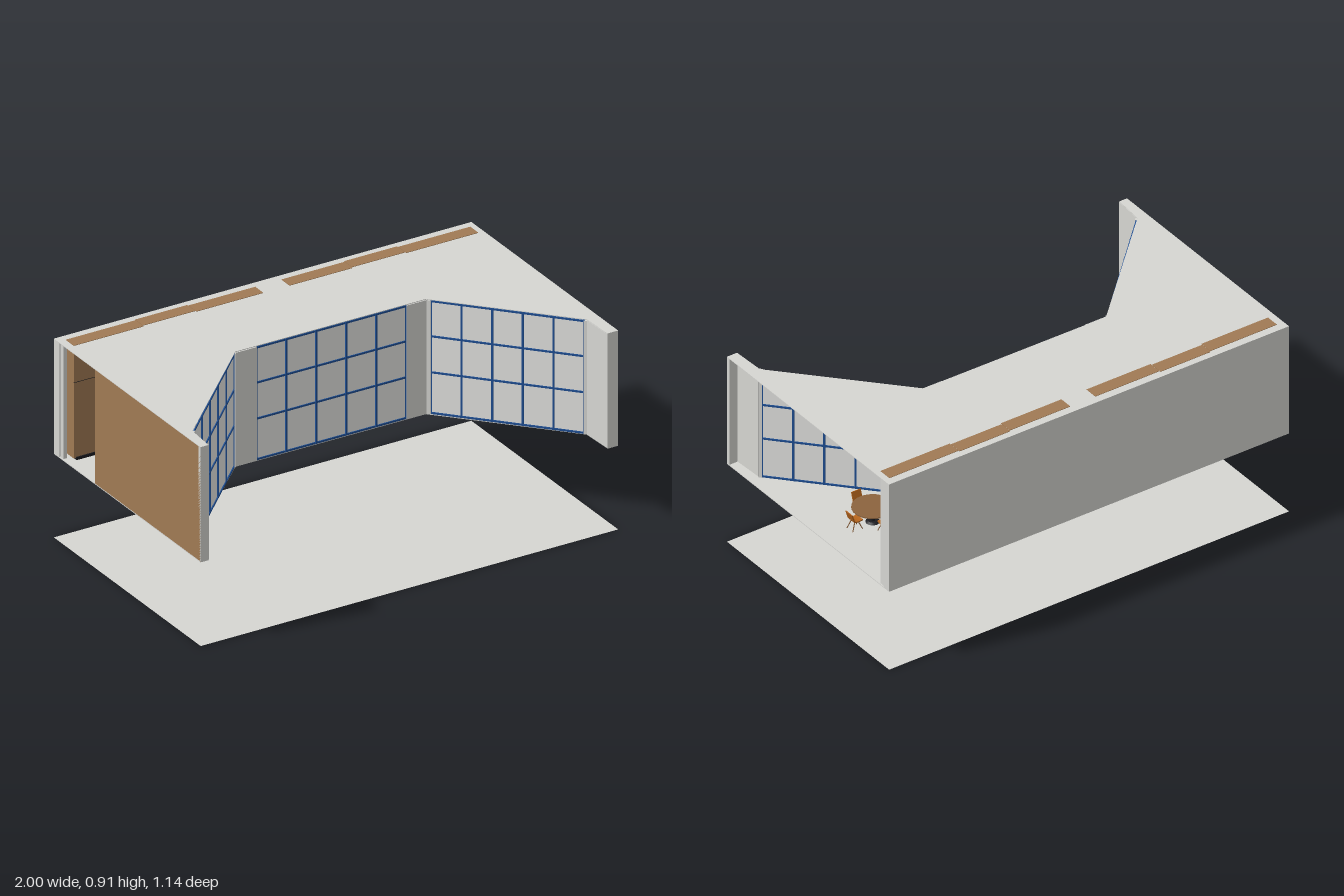
import * as THREE from 'three';

const mat = (name, color, side = THREE.FrontSide) => {
  const m = new THREE.MeshStandardMaterial({ color, side });
  m.name = name;
  return m;
};

export function createModel() {
  const model = new THREE.Group();
  model.name = 'pavilion';
  const wallGrey = mat('wall grey', 0xd6d6d2, THREE.DoubleSide);
  const glass = mat('pale glazing', 0xeeeeec);
  const blue = mat('blue frame', 0x1f4f94);
  const wood = mat('wood panel', 0xa07a54);
  const black = mat('black', 0x1b1b1f);
  const orange = mat('orange chair', 0xb5651d);
  const sofaGrey = mat('sofa grey', 0xc9c9c9);
  const tableWood = mat('table wood', 0x8c633e);

  const F = 0.387, H = 0.908; // floor and ceiling levels
  const add = (name, geo, m, parent = model) => {
    const mesh = new THREE.Mesh(geo, m);
    mesh.name = name;
    parent.add(mesh);
    return mesh;
  };
  // box given by its minimum and maximum corners
  const box = (name, x0, x1, y0, y1, z0, z1, m, parent) => {
    const b = add(name, new THREE.BoxGeometry(x1 - x0, y1 - y0, z1 - z0), m, parent);
    b.position.set((x0 + x1) / 2, (y0 + y1) / 2, (z0 + z1) / 2);
    return b;
  };
  // upright slab between two plan points
  const slab = (name, a, b, y0, y1, t, m, parent) => {
    const dx = b[0] - a[0], dz = b[1] - a[1];
    const s = add(name, new THREE.BoxGeometry(Math.hypot(dx, dz), y1 - y0, t), m, parent);
    s.position.set((a[0] + b[0]) / 2, (y0 + y1) / 2, (a[1] + b[1]) / 2);
    s.rotation.y = -Math.atan2(dz, dx);
    return s;
  };
  // plan outline (x, z) raised from y0 to y1
  const prism = (name, pts, y0, y1, m, parent) => {
    const shape = new THREE.Shape(pts.map(p => new THREE.Vector2(p[0], p[1])));
    const geo = new THREE.ExtrudeGeometry(shape, { depth: y1 - y0, bevelEnabled: false });
    geo.rotateX(Math.PI / 2);
    const p = add(name, geo, m, parent);
    p.position.y = y1;
    return p;
  };
  // curved strip in plan between two sideways offsets of a curve
  const ribbon = (name, pts, o0, o1, y0, y1, m, parent) => {
    const curve = new THREE.CatmullRomCurve3(pts.map(p => new THREE.Vector3(p[0], 0, p[1])));
    const edge = o => Array.from({ length: 33 }, (_, i) => {
      const p = curve.getPointAt(i / 32), t = curve.getTangentAt(i / 32);
      return [p.x - t.z * o, p.z + t.x * o];
    });
    return prism(name, [...edge(o0), ...edge(o1).reverse()], y0, y1, m, parent);
  };

  // ground sheet, floor and roof with the splayed recess in front
  const ground = add('ground', new THREE.PlaneGeometry(2, 1.145), wallGrey);
  ground.rotation.x = -Math.PI / 2;
  const plan = [[-1, -0.572], [1, -0.572], [1, 0.572], [0.95, 0.572], [0.943, 0.42], [0.48, -0.08],
    [-0.43, -0.085], [-0.952, 0.43], [-0.962, 0.572], [-1, 0.572]];
  prism('floor', plan, F - 0.004, F, wallGrey);
  prism('roof', plan, H, 0.911, wallGrey);

  // back wall and its short returns
  box('backWall', -1, 1, F, H, -0.572, -0.548, wallGrey);
  for (const s of [-1, 1]) {
    const x = s * 0.987;
    box('backReturn', x - 0.012, x + 0.012, F, H, -0.548, -0.53, wallGrey);
    box('backReturn', x - 0.008, x + 0.008, F, H, -0.53, -0.505, wallGrey);
  }
  // front ends and the wooden side wall
  slab('leftFrontReturn', [-0.956, 0.43], [-0.966, 0.572], F, H, 0.01, wallGrey);
  box('leftFrontEnd', -1, -0.962, F, H, 0.555, 0.572, wallGrey);
  slab('rightFrontReturn', [0.947, 0.42], [0.954, 0.572], F, H, 0.01, wallGrey);
  box('rightFrontEnd', 0.95, 1, F, H, 0.556, 0.572, wallGrey);
  box('sideWall', -1, -0.988, F, H, -0.25, 0.572, wood);
  box('sideWallLining', -0.987, -0.98, F, H, -0.16, 0.4, wallGrey);

  // glazed walls: pale panes, grey edges, blue grid of five by three bays
  const glazing = (name, a, b, u0, u1) => {
    const g = new THREE.Group();
    g.name = name;
    model.add(g);
    const at = u => [a[0] + (b[0] - a[0]) * u, a[1] + (b[1] - a[1]) * u];
    const len = Math.hypot(b[0] - a[0], b[1] - a[1]);
    slab('pane', at(u0), at(u1), F, H, 0.006, glass, g);
    slab('wallEnd', at(0), at(u0), F, H, 0.022, wallGrey, g);
    slab('wallEnd', at(u1), at(1), F, H, 0.022, wallGrey, g);
    const w = 0.004 / len;
    for (let i = 0; i <= 5; i++) {
      const u = u0 + (u1 - u0) * i / 5;
      slab('mullion', at(u - w), at(u + w), F, H, 0.016, blue, g);
    }
    for (const y of [F + 0.004, 0.577, 0.742, H - 0.005])
      slab('transom', at(u0), at(u1), y - 0.004, y + 0.004, 0.015, blue, g);
  };
  glazing('frontWindow', [-0.43, -0.09], [0.48, -0.086], 0.11, 0.897);
  glazing('leftWindow', [-0.955, 0.43], [-0.435, -0.09], 0.02, 0.98);
  glazing('rightWindow', [0.486, -0.085], [0.947, 0.42], 0.03, 0.98);

  // storage wall: tall cupboards either side of a dark kitchen niche
  const tall = (x0, x1) => {
    box('plinth', x0 + 0.01, x1 - 0.01, F - 0.006, 0.4, -0.53, -0.468, black);
    box('tallCupboard', x0, x1, 0.395, 0.913, -0.535, -0.473, wood);
    const n = Math.round((x1 - x0) / 0.11);
    for (let i = 1; i < n; i++) {
      const x = x0 + (x1 - x0) * i / n;
      box('doorGap', x - 0.001, x + 0.001, 0.4, H, -0.474, -0.4725, black);
    }
    box('doorGap', x0, x1, 0.741, 0.743, -0.474, -0.4725, black);
  };
  const niche = (x0, x1) => {
    box('nicheBack', x0, x1, 0.395, 0.913, -0.541, -0.52, wood);
    box('nicheTop', x0, x1, 0.75, 0.913, -0.52, -0.48, wood);
    for (let i = 0; i < 3; i++) {
      const x = x0 + (x1 - x0) * (i + 0.5) / 3;
      box('appliance', x - 0.036, x + 0.036, F - 0.006, 0.58, -0.52, -0.464, black);
    }
    for (const y of [0.64, 0.7]) box('shelf', x0, x1, y, y + 0.006, -0.52, -0.475, black);
  };
  tall(-0.965, -0.632);
  niche(-0.63, -0.38);
  tall(-0.378, -0.058);
  tall(0.068, 0.37);
  niche(0.372, 0.625);
  tall(0.627, 0.972);

  // winding sofa with plinth, seat and backrest
  const path = [[-0.23, -0.25], [-0.17, -0.285], [-0.08, -0.32], [0, -0.315], [0.07, -0.275], [0.16, -0.25], [0.26, -0.262]];
  const sofa = new THREE.Group();
  sofa.name = 'sofa';
  model.add(sofa);
  ribbon('sofaPlinth', path, -0.033, 0.033, F - 0.006, 0.4, black, sofa);
  ribbon('sofaSeat', path, -0.037, 0.037, 0.4, 0.43, sofaGrey, sofa);
  ribbon('sofaBack', path, -0.037, -0.01, 0.43, 0.465, sofaGrey, sofa);

  // pendant light above the sofa
  ribbon('pendantLight', [[0.26, -0.13], [0.12, -0.14], [0, -0.23], [-0.1, -0.305], [-0.25, -0.31]],
    -0.012, 0.012, 0.758, 0.766, black);
  for (const x of [-0.22, -0.12])
    add('pendantRod', new THREE.CylinderGeometry(0.001, 0.001, H - 0.765, 6), black).position.set(x, (H + 0.765) / 2, -0.312);

  // low side tables
  for (const [x, z] of [[0.06, -0.14], [-0.01, -0.2], [-0.045, -0.15]]) {
    add('lowTableBase', new THREE.CylinderGeometry(0.018, 0.018, 0.008, 20), black).position.set(x, F, z);
    add('lowTableStem', new THREE.CylinderGeometry(0.004, 0.004, 0.035, 10), black).position.set(x, F + 0.018, z);
    add('lowTableTop', new THREE.CylinderGeometry(0.024, 0.024, 0.004, 24), tableWood).position.set(x, F + 0.037, z);
  }

  // shell chair, facing +z
  const profile = new THREE.Shape();
  profile.moveTo(0.025, 0.043);
  profile.quadraticCurveTo(-0.016, 0.036, -0.02, 0.05);
  profile.lineTo(-0.031, 0.086);
  profile.lineTo(-0.027, 0.087);
  profile.lineTo(-0.015, 0.052);
  profile.quadraticCurveTo(-0.01, 0.042, 0.025, 0.048);
  const shellGeo = new THREE.ExtrudeGeometry(profile, { depth: 0.046, bevelEnabled: false, curveSegments: 6 });
  shellGeo.translate(0, 0, -0.023).rotateY(-Math.PI / 2);
  const legGeo = new THREE.CylinderGeometry(0.0025, 0.002, 0.045, 6);
  const chair = (x, z, turn, parent) => {
    const c = new THREE.Group();
    c.name = 'chair';
    add('chairShell', shellGeo, orange, c);
    for (const sx of [-1, 1]) for (const sz of [-1, 1]) {
      const leg = add('chairLeg', legGeo, tableWood, c);
      leg.position.set(sx * 0.016, 0.021, sz * 0.016);
      leg.rotation.set(-sz * 0.4, 0, sx * 0.2);
    }
    c.position.set(x, 0, z);
    c.rotation.y = turn;
    parent.add(c);
  };

  // dining sets: round table and four chairs
  for (const x of [-0.77, 0.76]) {
    const set = new THREE.Group();
    set.name = 'diningSet';
    set.position.set(x, F, -0.118);
    add('tableTop', new THREE.CylinderGeometry(0.088, 0.088, 0.005, 32), tableWood, set).position.y = 0.072;
    add('tableStem', new THREE.CylinderGeometry(0.009, 0.009, 0.07, 16), black, set).position.y = 0.035;
    add('tableBase', new THREE.CylinderGeometry(0.02, 0.034, 0.008, 24), black, set).position.y = 0.002;
    for (let i = 0; i < 4; i++) {
      const t = i * Math.PI / 2;
      chair(Math.sin(t) * 0.09, Math.cos(t) * 0.09, t + Math.PI, set);
    }
    model.add(set);
  }
  return model;
}
